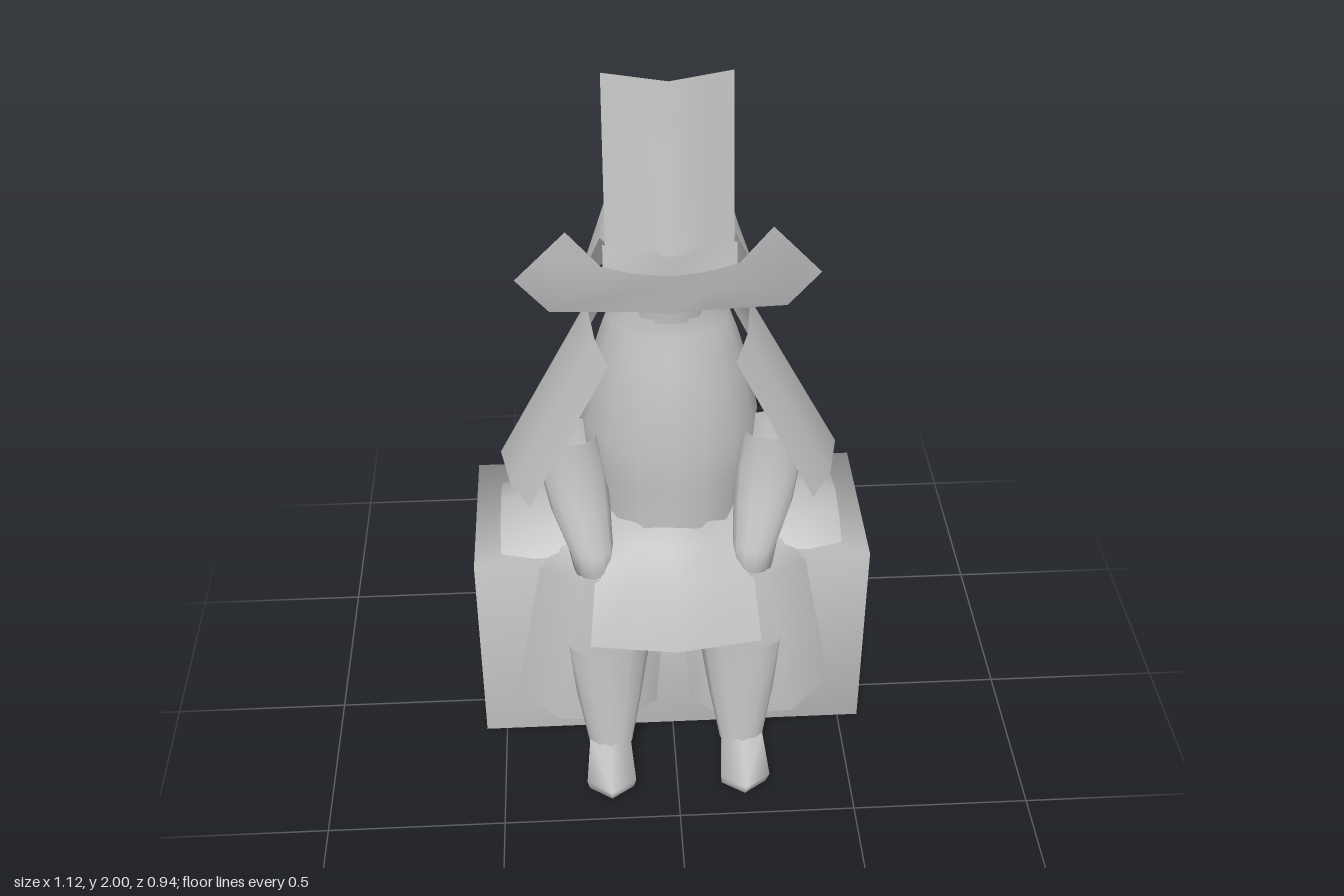
import * as THREE from 'three';

const grey = new THREE.MeshStandardMaterial({ color: 0xbcbcbc, side: THREE.DoubleSide });
grey.name = 'plain grey';

// Surface through rows of [x, y, z] points; closed rows form tubes.
function sheet(name, rows, closed = false) {
  const n = rows[0].length, index = [];
  for (let r = 0; r < rows.length - 1; r++) {
    for (let i = 0; i < (closed ? n : n - 1); i++) {
      const j = (i + 1) % n, a = r * n + i, b = r * n + j;
      index.push(a, a + n, b, b, a + n, b + n);
    }
  }
  const g = new THREE.BufferGeometry();
  g.setAttribute('position', new THREE.Float32BufferAttribute(rows.flat(2), 3));
  g.setIndex(index);
  g.computeVertexNormals();
  const mesh = new THREE.Mesh(g, grey);
  mesh.name = name;
  return mesh;
}

// Horizontal oval section: centre x, height, half width, front z, back z.
function oval(cx, y, w, zf, zb, n = 16) {
  return Array.from({ length: n }, (_, i) => {
    const a = (i / n) * Math.PI * 2;
    return [cx + Math.sin(a) * w, y, (zf + zb) / 2 + Math.cos(a) * (zf - zb) / 2];
  });
}

// Mirror-symmetric folded section: z at the middle, half way out and at the side.
const fold = (w, y, zMid, zHalf, zSide) => [
  [-w, y, zSide], [-w / 2, y, zHalf], [0, y, zMid], [w / 2, y, zHalf], [w, y, zSide],
];

// Horizontal rectangle section.
const rect = (w, y, zf, zb) => [[w, y, zf], [w, y, zb], [-w, y, zb], [-w, y, zf]];

// Foot outline with a pointed toe.
const sole = (y, w, tip, heel, side) => [
  [0.192, y, tip], [0.192 + w, y, side], [0.192 + w * 0.8, y, heel],
  [0.192 - w * 0.8, y, heel], [0.192 - w, y, side],
];

// Parts of the model's left side
function buildSide(name) {
  const g = new THREE.Group();
  g.name = name;

  // Shoulder plate, bowed outwards
  const bow = [[0.08, 0], [0.03, 0.65], [-0.09, 1], [-0.21, 0.65], [-0.26, 0]];
  g.add(sheet('shoulderPlate', [
    bow.map(([z, k]) => [0.17 + 0.05 * k, 1.27 + 0.09 * k, z]),
    bow.map(([z, k]) => [0.395 + 0.08 * k, 0.81 + 0.07 * k, z]),
  ]));

  // Forearm guard, open at the elbow
  g.add(sheet('forearm', [
    oval(0.272, 1.005, 0.072, 0.065, -0.07, 12),
    oval(0.272, 0.9, 0.092, 0.085, -0.05, 12),
    oval(0.255, 0.8, 0.083, 0.13, 0.01, 12),
    oval(0.23, 0.7, 0.062, 0.18, 0.08, 12),
    oval(0.222, 0.645, 0.056, 0.205, 0.11, 12),
    oval(0.222, 0.64, 0.001, 0.16, 0.159, 12),
  ], true));

  // Arched hip flap resting on the seat
  const arch = [[0.5, 0], [0.28, 0.7], [0, 1], [-0.28, 0.7], [-0.5, 0]];
  g.add(sheet('hipFlap', [[0.2, 0.742, 0.36], [0.39, 0.732, 0.38], [0.485, 0.704, 0.33]].map(
    ([x, y, depth]) => arch.map(([t, k]) => [x, 0.64 + (y - 0.64) * k, -0.09 + t * depth]))));

  // Folded thigh plate hanging over the front of the seat
  g.add(sheet('thighPlate', [
    [[0.02, 0.68, 0.08], [0.12, 0.7, 0.1], [0.25, 0.7, 0.09], [0.33, 0.65, 0.07]],
    [[0.015, 0.63, 0.14], [0.1, 0.64, 0.2], [0.26, 0.64, 0.205], [0.375, 0.63, 0.135]],
    [[0.05, 0.125, 0.155], [0.14, 0.14, 0.25], [0.34, 0.16, 0.255], [0.46, 0.175, 0.145]],
  ]));

  // Greave and pointed foot
  g.add(sheet('greave', [
    oval(0.19, 0.42, 0.12, 0.275, 0.14, 12),
    oval(0.19, 0.25, 0.092, 0.305, 0.19, 12),
    oval(0.19, 0.1, 0.062, 0.338, 0.24, 12),
  ], true));
  g.add(sheet('foot', [
    sole(0.125, 0.058, 0.34, 0.25, 0.3),
    sole(0.07, 0.07, 0.47, 0.245, 0.42),
    sole(0, 0.064, 0.425, 0.23, 0.38),
  ], true));
  g.add(sheet('footSole', [
    sole(0, 0.064, 0.425, 0.23, 0.38), sole(0, 0.001, 0.33, 0.329, 0.33),
  ], true));
  return g;
}

export function createModel() {
  const model = new THREE.Group();
  model.name = 'seatedArmour';

  // Storage box used as the seat, hollow and open underneath
  model.add(sheet('seat', [
    rect(0.001, 0.635, -0.114, -0.116), rect(0.56, 0.635, 0.125, -0.355), rect(0.56, 0, 0.125, -0.355),
  ], true));

  // Torso, narrowing to the neck
  model.add(sheet('torso', [
    [1.42, 0.1, 0.005, -0.2], [1.36, 0.125, 0.008, -0.25], [1.31, 0.168, 0.02, -0.28],
    [1.25, 0.19, 0.045, -0.3], [1.15, 0.22, 0.08, -0.32], [1.0, 0.25, 0.12, -0.33],
    [0.88, 0.24, 0.132, -0.325], [0.76, 0.215, 0.14, -0.315], [0.637, 0.235, 0.16, -0.335],
  ].map(([y, w, f, b]) => oval(0, y, w, f, b)), true));

  // Front and back skirt plates
  model.add(sheet('frontSkirt', [
    fold(0.19, 0.77, 0.138, 0.108, 0.01), fold(0.205, 0.71, 0.17, 0.155, 0.1),
    fold(0.22, 0.65, 0.235, 0.22, 0.195), fold(0.24, 0.47, 0.325, 0.307, 0.288),
  ]));
  model.add(sheet('backSkirt', [
    fold(0.19, 0.75, -0.313, -0.286, -0.19), fold(0.205, 0.7, -0.335, -0.32, -0.27),
    fold(0.22, 0.645, -0.385, -0.365, -0.34), fold(0.24, 0.47, -0.47, -0.449, -0.428),
  ]));

  // Face and neck behind the brow band
  model.add(sheet('face', [
    oval(0, 1.56, 0.13, 0.005, -0.2), oval(0, 1.45, 0.115, 0.008, -0.2), oval(0, 1.33, 0.11, 0.01, -0.2),
  ], true));

  // Helmet bowl; its sides and back drop into the neck guard
  const bowl = [
    [1.687, 0.001, -0.119, -0.121], [1.68, 0.075, -0.05, -0.2], [1.65, 0.13, -0.02, -0.26],
    [1.6, 0.175, -0.005, -0.313], [1.55, 0.19, 0.005, -0.33],
  ].map(([y, w, f, b]) => oval(0, y, w, f, b, 20));
  const brim = bowl[bowl.length - 1];
  const guard = (y, w, zMid, zBack) => brim.map((p, i) => {
    const a = (i / 20) * Math.PI * 2, c = Math.cos(a);
    return c > 0.1 ? p : [Math.sin(a) * w, y, zMid - c * (zBack - zMid)];
  });
  model.add(sheet('helmet', [
    ...bowl, guard(1.45, 0.232, -0.085, -0.365), guard(1.345, 0.267, -0.09, -0.403),
  ], true));

  // Brow band sweeping out into a flared wing on each side
  const half = [
    [[0.41, 1.44, -0.09], [0.34, 1.525, -0.065], [0.27, 1.61, -0.04]],
    [[0.32, 1.345, -0.08], [0.25, 1.435, -0.03], [0.18, 1.525, -0.005]],
    [[0.1, 1.388, 0.0], [0.1, 1.45, 0.008], [0.1, 1.512, 0.012]],
  ];
  const flip = half.map((col) => col.map(([x, y, z]) => [-x, y, z])).reverse();
  const middle = [[0, 1.385, 0.013], [0, 1.45, 0.02], [0, 1.512, 0.03]];
  model.add(sheet('browBand', [...half, middle, ...flip]));

  // Visor strip and tall folded crest
  model.add(sheet('visor', [
    fold(0.175, 1.575, 0.03, 0.0, -0.03), fold(0.175, 1.513, 0.033, 0.016, -0.01),
  ]));
  model.add(sheet('crest', [
    fold(0.168, 1.57, 0.032, 0.001, -0.03), fold(0.168, 2.0, -0.088, -0.118, -0.148),
  ]));

  // Mirrored limbs and plates
  const left = buildSide('leftSide');
  const right = buildSide('rightSide');
  right.scale.x = -1;
  model.add(left, right);
  return model;
}
